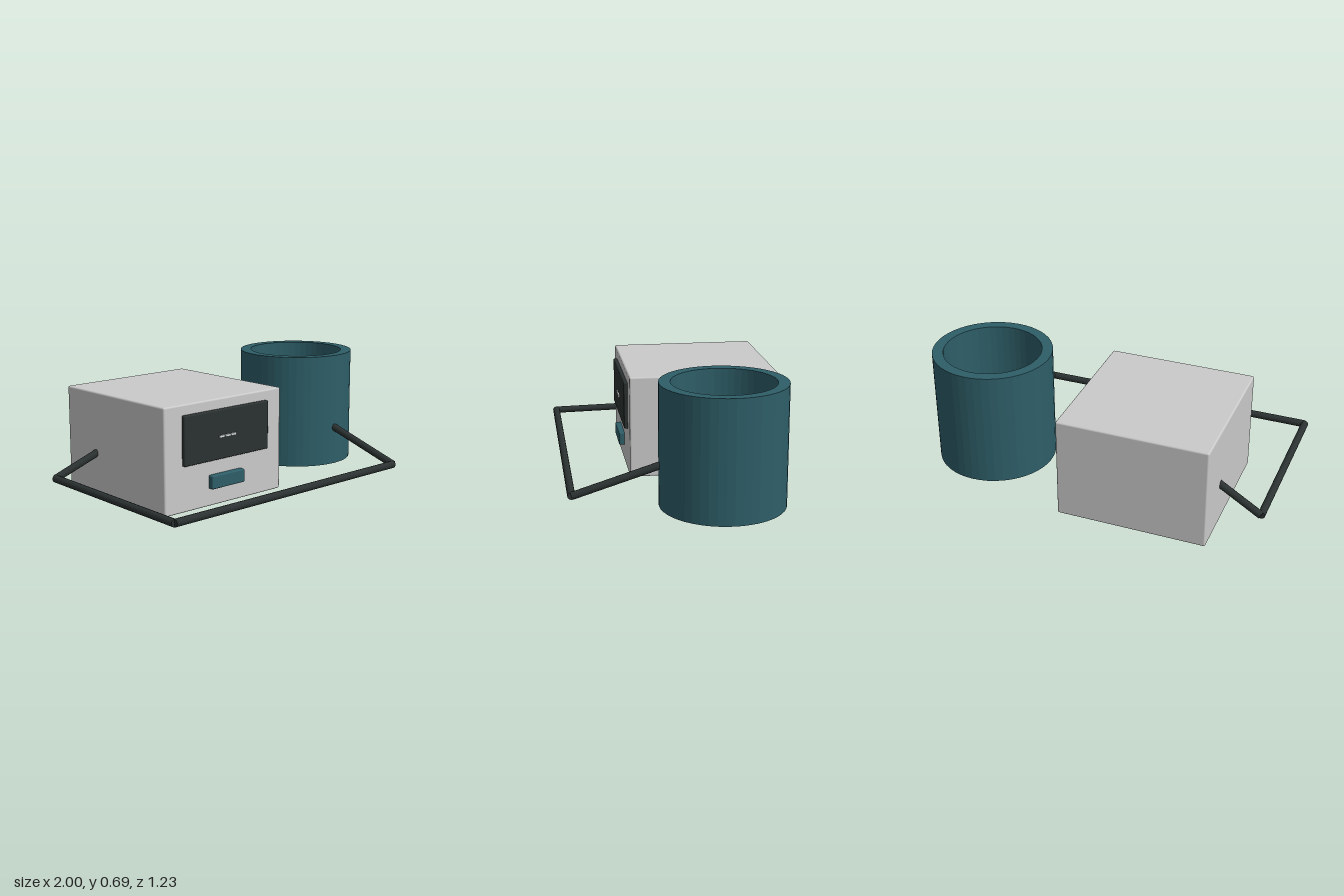
import * as THREE from 'three';
import { RoundedBoxGeometry } from 'three/addons/geometries/RoundedBoxGeometry.js';

const mat = (name, color) => {
  const m = new THREE.MeshStandardMaterial({ color });
  m.name = name;
  return m;
};

export function createModel() {
  const root = new THREE.Group();
  root.name = 'pressureMonitor';
  const casing = mat('light grey', 0xcacaca);
  const teal = mat('teal', 0x2e5e68);
  const dark = mat('charcoal', 0x2b3231);
  const pale = mat('display white', 0xd8dedc);

  const add = (name, geometry, material) => {
    const mesh = new THREE.Mesh(geometry, material);
    mesh.name = name;
    root.add(mesh);
    return mesh;
  };
  // Rounded box given by its minimum and maximum corners
  const block = (name, a, b, radius, material) => {
    const size = b.map((v, i) => v - a[i]);
    const mesh = add(name, new RoundedBoxGeometry(...size, 2, radius), material);
    mesh.position.set(...a.map((v, i) => (v + b[i]) / 2));
  };

  // Monitor body, screen and start button
  block('monitorCase', [-0.74, 0, -0.618], [0.1, 0.582, 0.228], 0.01, casing);
  block('screen', [-0.62, 0.253, 0.21], [-0.012, 0.525, 0.249], 0.008, dark);
  block('startButton', [-0.436, 0.098, 0.2], [-0.2, 0.173, 0.26], 0.008, teal);

  // Three dashes on the screen
  for (let i = 0; i < 3; i++) {
    const dash = add('screenDash', new THREE.BoxGeometry(0.036, 0.013, 0.008), pale);
    dash.position.set(-0.361 + i * 0.041, 0.379, 0.253);
  }

  // Open arm cuff with a thick wall
  const R = 0.337, r = 0.276, y0 = 0.03, y1 = 0.69;
  const ring = new THREE.Shape().absarc(0, 0, R, 0, Math.PI * 2);
  ring.holes.push(new THREE.Path().absarc(0, 0, r, 0, Math.PI * 2, true));
  const cuffGeometry = new THREE.ExtrudeGeometry(ring, {
    depth: y1 - y0, bevelEnabled: false, curveSegments: 24,
  });
  cuffGeometry.rotateX(-Math.PI / 2);
  add('armCuff', cuffGeometry, teal).position.set(0.66, y0, -0.198);

  // Air hose in straight lengths from the case to the cuff
  const path = [
    [-0.70, 0.255, -0.36], [-0.98, 0.128, -0.412], [-0.98, 0.108, 0.593],
    [0.657, 0.108, 0.593], [0.657, 0.262, 0.105],
  ].map((p) => new THREE.Vector3(...p));
  for (let i = 0; i < path.length - 1; i++) {
    const dir = path[i + 1].clone().sub(path[i]);
    const hose = add('hoseSection', new THREE.CylinderGeometry(0.021, 0.021, dir.length(), 12), dark);
    hose.position.copy(path[i]).addScaledVector(dir, 0.5);
    hose.quaternion.setFromUnitVectors(new THREE.Vector3(0, 1, 0), dir.normalize());
  }
  return root;
}
